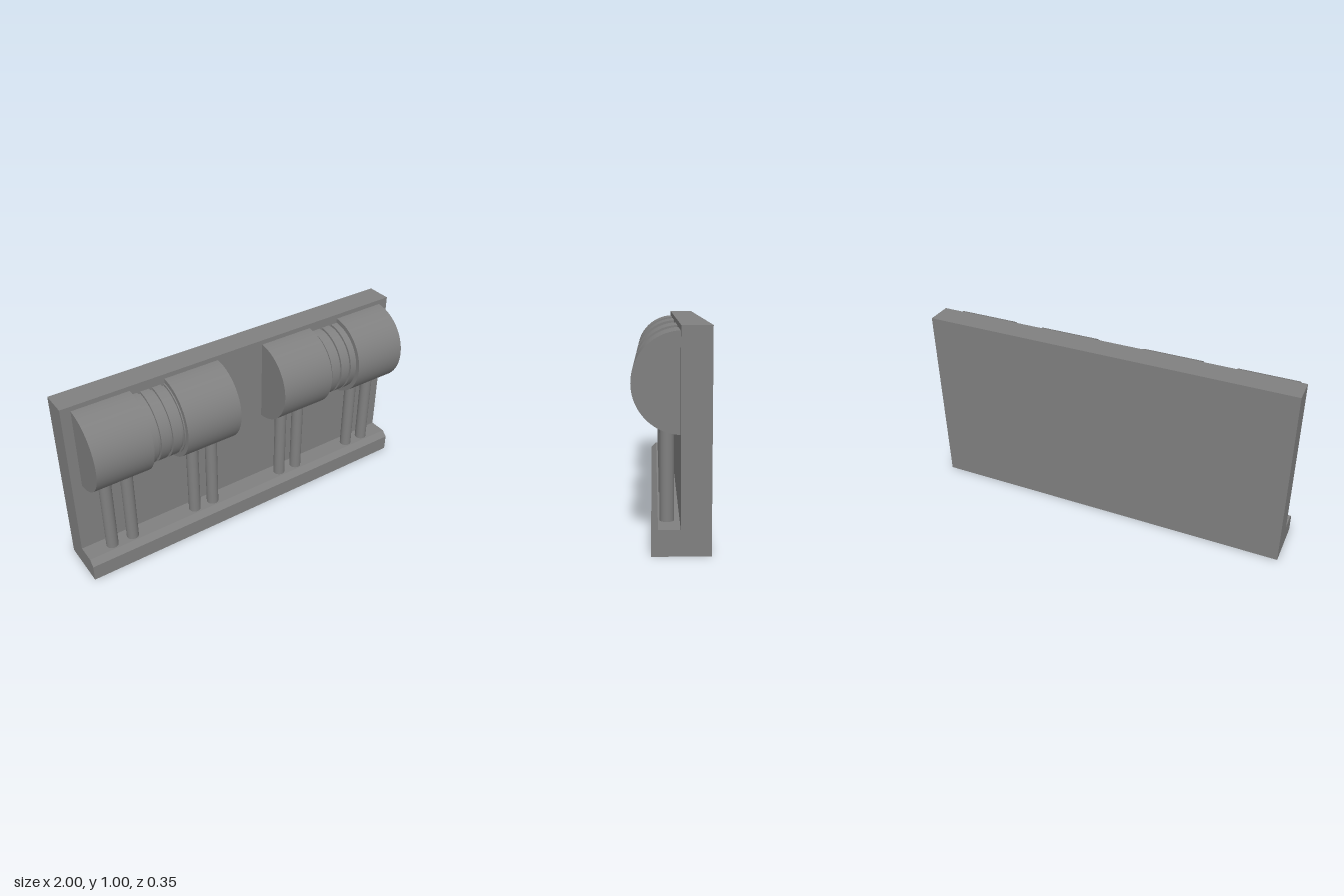
import * as THREE from 'three';

const stone = new THREE.MeshStandardMaterial({ color: 0x808080 });
stone.name = 'grey';

function part(name, geometry) {
  const mesh = new THREE.Mesh(geometry, stone);
  mesh.name = name;
  return mesh;
}

// Half drum lying along x between two positions, its flat side sunk in the wall
function halfDrum(name, xa, xb, radius) {
  const geometry = new THREE.CylinderGeometry(
    radius, radius, Math.abs(xb - xa), 48, 1, false, -Math.PI / 2, Math.PI);
  geometry.rotateZ(-Math.PI / 2);
  geometry.translate((xa + xb) / 2, 0.75, -0.05);
  return part(name, geometry);
}

// One drum assembly with its four posts; side -1 is the right, +1 the left
function drumUnit(side) {
  const unit = new THREE.Group();
  unit.name = side < 0 ? 'rightDrumUnit' : 'leftDrumUnit';
  const at = (x) => side * x - 0.002;

  // Large end drums
  for (const [a, b] of [[0.137, 0.449], [0.638, 0.945]]) {
    unit.add(halfDrum('endDrum', at(a), at(b), 0.225));
  }
  // Grooved neck: a core with raised bands
  unit.add(halfDrum('neckCore', at(0.449), at(0.638), 0.188));
  for (const [a, b] of [[0.449, 0.455], [0.471, 0.519], [0.536, 0.584], [0.6, 0.638]]) {
    unit.add(halfDrum('neckBand', at(a), at(b), 0.2));
  }
  // Round posts
  for (const x of [0.229, 0.345, 0.73, 0.85]) {
    const geometry = new THREE.CylinderGeometry(0.0325, 0.0325, 0.5, 24);
    geometry.translate(at(x), 0.36, 0.0175);
    unit.add(part('post', geometry));
  }
  return unit;
}

export function createModel() {
  const model = new THREE.Group();
  model.name = 'wallPanel';

  // Back wall and chamfered ledge as one extruded section (shape x becomes -z)
  const section = new THREE.Shape();
  [[0.175, 0], [0.175, 1], [0.04, 1], [0.04, 0.12], [-0.058, 0.12], [-0.088, 0.09], [-0.088, 0]]
    .forEach(([x, y], i) => (i ? section.lineTo(x, y) : section.moveTo(x, y)));
  const wall = new THREE.ExtrudeGeometry(section, { depth: 2, bevelEnabled: false });
  wall.translate(0, 0, -1);
  wall.rotateY(Math.PI / 2);
  model.add(part('wallAndLedge', wall));

  // Two drum assemblies
  for (const side of [-1, 1]) model.add(drumUnit(side));
  return model;
}
